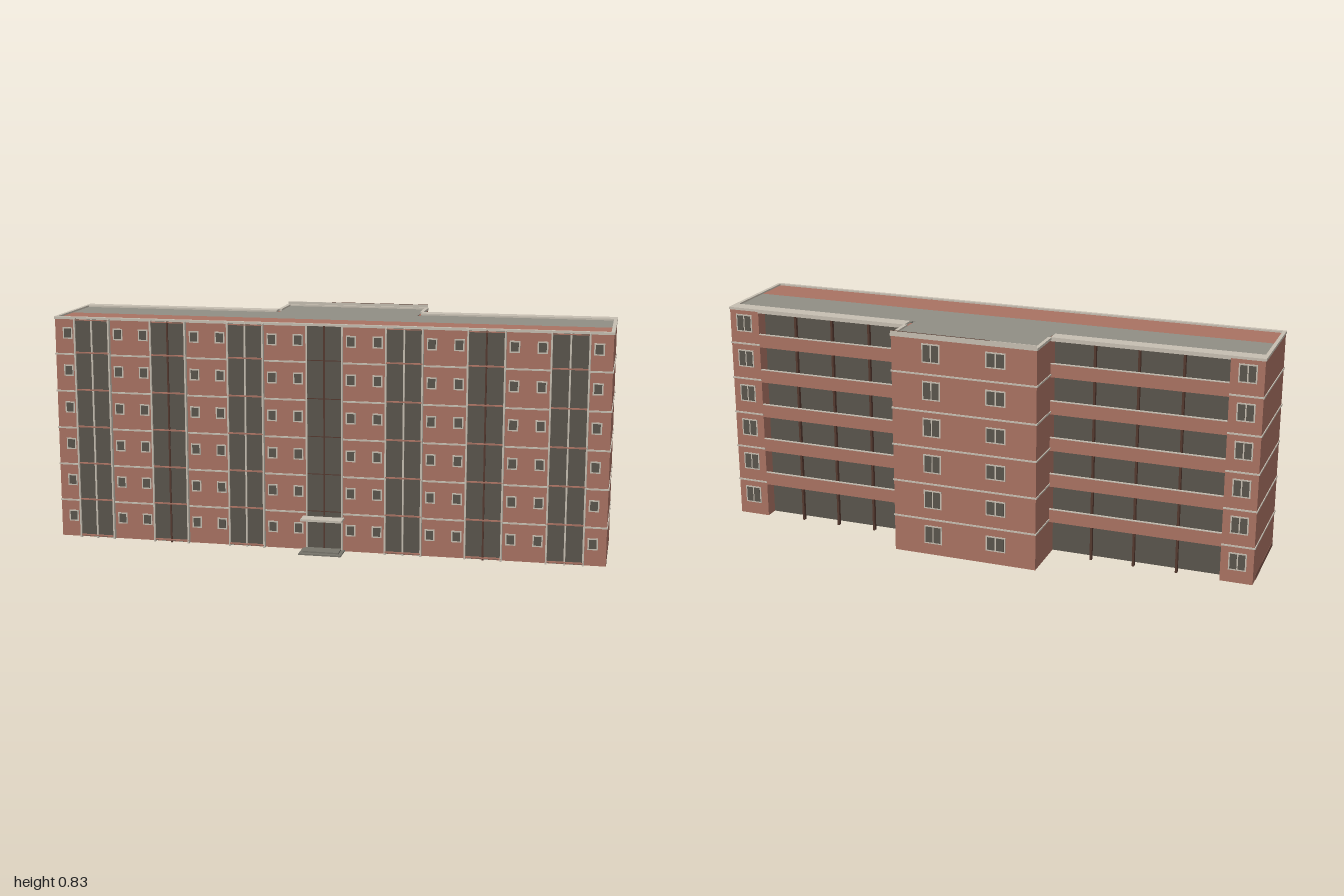
import * as THREE from 'three';

const mat = (name, color, extra = {}) => Object.assign(new THREE.MeshStandardMaterial({ color, ...extra }), { name });

export function createModel() {
  const brick = mat('brick', 0xa97262);
  const trim = mat('pale trim', 0xc6beb1);
  const glass = mat('dark glazing', 0x5a554c);
  const roofGrey = mat('roof grey', 0x908e84);
  const dark = mat('dark brown', 0x54392f);
  const plinthMat = mat('plinth brown', 0x80564a);
  const stone = mat('step grey', 0x77746b);

  const root = new THREE.Group();
  root.name = 'apartmentBlock';

  // box given by its minimum and maximum on each axis
  const box = (name, m, x0, x1, y0, y1, z0, z1, parent = root) => {
    const mesh = new THREE.Mesh(new THREE.BoxGeometry(x1 - x0, y1 - y0, z1 - z0), m);
    mesh.position.set((x0 + x1) / 2, (y0 + y1) / 2, (z0 + z1) / 2);
    mesh.name = name;
    parent.add(mesh);
    return mesh;
  };
  const group = (name) => {
    const g = new THREE.Group();
    g.name = name;
    root.add(g);
    return g;
  };

  const H = 0.812, F = 0.1365, T = 0.01, FLOORS = 6;
  const E = 0.997;                   // half length of the walls
  const FRONT = 0.218, BACK = -0.292; // main facade and rear of the centre block
  const CL = -0.25, CR = 0.29;       // centre block sides
  const wings = [
    { name: 'rightWing', s: -1, inner: CL, back: -0.145, glaze: -0.098 },
    { name: 'leftWing', s: 1, inner: CR, back: -0.17, glaze: -0.12 },
  ];
  const span = (a, b) => [Math.min(a, b), Math.max(a, b)];

  // hollow shell, open underneath
  const walls = group('walls');
  box('frontWall', brick, -E, E, 0, H, FRONT - T, FRONT, walls);
  box('centreBackWall', brick, CL, CR, 0, H, BACK, BACK + T, walls);
  box('centreSideWall', brick, CL, CL + T, 0, H, BACK + T, wings[0].glaze, walls);
  box('centreSideWall', brick, CR - T, CR, 0, H, BACK + T, wings[1].glaze, walls);

  // framed window with one or more panes; dir is the way it faces along z
  const addWindow = (parent, x, y, z, w, h, panes, dir) => {
    const g = new THREE.Group();
    g.name = 'window';
    g.position.set(x, y, z);
    if (dir < 0) g.rotation.y = Math.PI;
    parent.add(g);
    const b = 0.005;
    box('windowFrame', trim, -w / 2, w / 2, -h / 2, h / 2, -0.001, 0.002, g);
    const pw = (w - b * (panes + 1)) / panes;
    for (let i = 0; i < panes; i++) {
      const x0 = -w / 2 + b + i * (pw + b);
      box('windowPane', glass, x0, x0 + pw, -h / 2 + b, h / 2 - b, 0, 0.003, g);
    }
  };

  // front windows flank each glazed column
  const columns = [-3, -2, -1, 0, 1, 2, 3].map((i) => i * 0.285);
  const frontWindows = group('frontWindows');
  for (let f = 0; f < FLOORS; f++)
    for (const c of columns)
      for (const s of [-1, 1]) addWindow(frontWindows, c + s * 0.095, f * F + 0.078, FRONT, 0.036, 0.042, 1, 1);

  // glazed stair columns with upright fins and small brick ledges
  const W = 0.064;
  columns.forEach((c, i) => {
    const g = group('glazedColumn');
    const centre = i === 3;
    const z = centre ? 0.222 : 0.228;
    box('columnGlazing', glass, c - W, c + W, centre ? 0.01 : 0.004, H, FRONT, z, g);
    for (const k of [-1, 1])
      box('columnFin', trim, c + k * W - 0.003, c + k * W + 0.003, 0, 0.816, FRONT - 0.012, centre ? 0.224 : 0.234, g);
    const mid = i % 2 === 0;
    box('columnMullion', mid ? trim : dark, c - 0.003, c + 0.003, centre ? 0.13 : 0, 0.814, FRONT, centre ? 0.224 : 0.233, g);
    for (let f = 0; f < FLOORS; f++) {
      const y = f * F + 0.007;
      if (!centre) box('columnLedge', brick, c - W, c + W, y, y + 0.005, FRONT, 0.234, g);
      else if (f > 0) box('columnTransom', dark, c - W, c + W, y, y + 0.003, FRONT, 0.2235, g);
    }
    if (!centre) box('columnCap', brick, c - W, c + W, H - 0.003, H, FRONT, 0.234, g);
  });

  // pale string courses at every floor; the last one forms the roof edge
  const bands = group('stringCourses');
  const P = 0.003;
  for (let f = 1; f <= FLOORS; f++) {
    const y0 = f === FLOORS ? H - 0.001 : f * F - 0.002, y1 = f === FLOORS ? 0.82 : f * F + 0.004;
    box('frontBand', trim, -1, 1, y0, y1, FRONT - T - 0.001, FRONT + P, bands);
    box('centreBackBand', trim, CL - P, CR + P, y0, y1, BACK - P, BACK + T, bands);
    for (const w of wings) {
      const [x0, x1] = span(w.s * (E - T), w.s);
      box('sideBand', trim, x0, x1, y0, y1, w.back - P, FRONT, bands);
      const [p0, p1] = span(w.s * 0.88, w.s);
      box('pierBand', trim, p0, p1, y0, y1, w.back - P, w.back + 0.004, bands);
      const [c0, c1] = span(w.inner - w.s * T, w.inner + w.s * P);
      box('centreSideBand', trim, c0, c1, y0, y1, BACK, w.back, bands);
    }
  }

  // wings: end wall, corner pier, recessed glazing and balconies
  for (const w of wings) {
    const g = group(w.name);
    const pier = w.s * 0.88;
    const [e0, e1] = span(w.s * (E - T), w.s * E);
    box('endWall', brick, e0, e1, 0, H, w.back, FRONT - T, g);
    const [p0, p1] = span(pier, w.s * (E - T));
    box('cornerPier', brick, p0, p1, 0, H, w.back, w.glaze + T, g);
    const [q0, q1] = span(w.s * E, w.s * (E + 0.001));
    box('plinth', plinthMat, q0, q1, 0, 0.02, w.glaze, FRONT, g);
    const [b0, b1] = span(w.inner, pier);
    box('balconyGlazing', glass, b0, b1, 0, H, w.glaze, w.glaze + T, g);
    for (let f = 0; f < FLOORS; f++) {
      const y = f * F;
      addWindow(g, w.s * 0.94, y + 0.08, w.back, 0.064, 0.066, 2, -1);
      if (f > 0) {
        box('balconySlab', brick, b0, b1, y - 0.006, y + 0.004, w.back + 0.004, w.glaze, g);
        box('balconyParapet', brick, b0, b1, y - 0.008, y + 0.04, w.back, w.back + 0.006, g);
        box('parapetCoping', trim, b0, b1, y + 0.04, y + 0.043, w.back - 0.001, w.back + 0.007, g);
      }
    }
    // balcony dividers
    for (let i = 1; i < 4; i++) {
      const x = b0 + ((b1 - b0) * i) / 4;
      box('balconyDivider', dark, x - 0.004, x + 0.004, 0, H, w.back + 0.007, w.back + 0.02, g);
    }
    box('balconyRoof', trim, b0, b1, H - 0.006, 0.82, w.back - P, w.glaze, g);
    box('pierRoof', trim, p0, p1, H, 0.82, w.back, w.glaze, g);
  }

  // rear windows of the centre block
  const rear = group('rearWindows');
  for (let f = 0; f < FLOORS; f++) {
    addWindow(rear, 0.14, f * F + 0.078, BACK, 0.068, 0.07, 2, -1);
    addWindow(rear, -0.1, f * F + 0.078, BACK, 0.074, 0.058, 2, -1);
  }

  // flat roof with a brick coloured strip along the front
  const roof = group('roof');
  box('brickRoofStrip', brick, -E + T, E - T, H - 0.008, H + 0.002, 0.065, FRONT - T, roof);
  box('greyRoof', roofGrey, -E + T, E - T, H - 0.008, H + 0.002, -0.098, 0.065, roof);
  box('greyRoofLeft', roofGrey, CR, E - T, H - 0.008, H + 0.002, -0.12, -0.098, roof);
  box('greyRoofCentre', roofGrey, CL + T, CR - T, H - 0.008, H + 0.002, BACK + T, -0.098, roof);
  box('rearUpstand', trim, CL, CR, 0.82, 0.83, BACK - P, BACK, roof);
  box('rearUpstandCap', dark, -0.08, CR, 0.83, 0.831, BACK - P, BACK, roof);

  // entrance: door, canopy and steps
  const entrance = group('entrance');
  box('door', glass, -0.055, 0.055, 0.01, 0.115, FRONT - T - 0.001, 0.2235, entrance);
  box('doorMullion', dark, -0.002, 0.002, 0.01, 0.115, FRONT, 0.225, entrance);
  box('canopy', trim, -0.078, 0.072, 0.117, 0.125, FRONT, 0.27, entrance);
  box('upperStep', stone, -0.068, 0.062, 0, 0.01, FRONT, 0.277, entrance);
  box('lowerStep', stone, -0.08, 0.074, 0, 0.005, FRONT, 0.295, entrance);

  return root;
}
